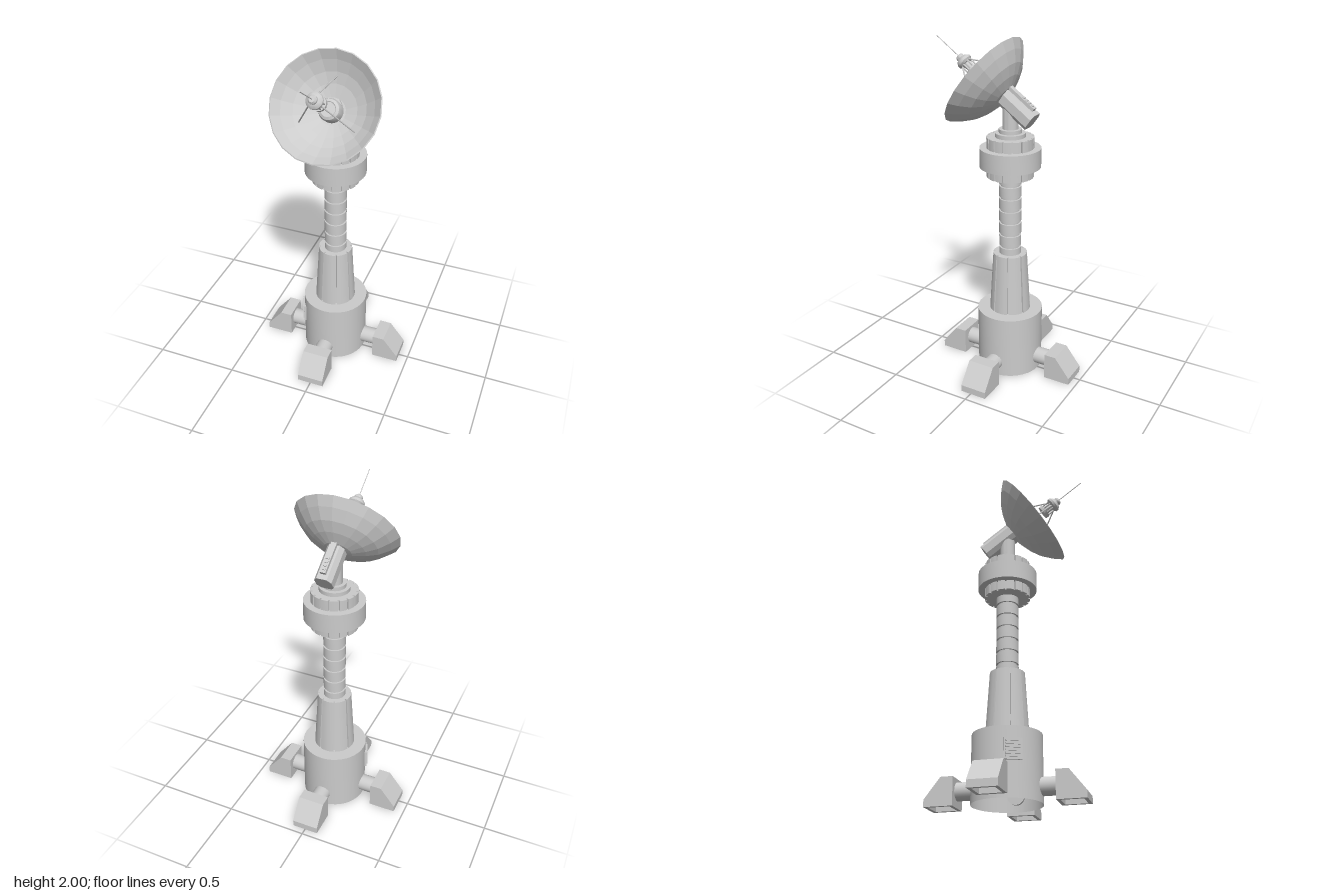
import * as THREE from 'three';
import { toCreasedNormals } from 'three/addons/utils/BufferGeometryUtils.js';

const grey = new THREE.MeshStandardMaterial({ color: 0xcccccc });
const open = new THREE.MeshStandardMaterial({ color: 0xcccccc, side: THREE.DoubleSide });
const faceted = new THREE.MeshStandardMaterial({ color: 0xcccccc, flatShading: true });

function add(parent, name, geometry, material = grey) {
  const mesh = new THREE.Mesh(geometry, material);
  mesh.name = name;
  parent.add(mesh);
  return mesh;
}
const group = (parent, name) => {
  const g = new THREE.Group();
  g.name = name;
  parent.add(g);
  return g;
};
const vecs = (pts) => pts.map(([x, y]) => new THREE.Vector2(x, y));
const lathe = (pts, sides = 40) => toCreasedNormals(new THREE.LatheGeometry(vecs(pts), sides), 0.6);
const disc = (r, y0, y1, r1 = r) => lathe([[0, y0], [r, y0], [r1, y1], [0, y1]]);
const extrude = (pts, depth) => new THREE.ExtrudeGeometry(new THREE.Shape(vecs(pts)), { depth, bevelEnabled: false });

// Upright ring of teeth split by notches; the top can be scaled to taper it
function toothed(rOut, rIn, teeth, gap, y0, y1, taper = 1) {
  const pts = [];
  const step = (Math.PI * 2) / teeth;
  const steps = 4;
  for (let i = 0; i < teeth; i++) {
    const mid = i * step + Math.PI / 2;
    const half = (step * (1 - gap)) / 2;
    for (let j = 0; j <= steps; j++) {
      const a = mid - half + (2 * half * j) / steps;
      pts.push([rOut * Math.cos(a), rOut * Math.sin(a)]);
    }
    for (const a of [mid + half, mid + step - half]) pts.push([rIn * Math.cos(a), rIn * Math.sin(a)]);
  }
  const h = y1 - y0;
  const g = extrude(pts, h);
  const p = g.attributes.position;
  for (let i = 0; i < p.count; i++) {
    const s = 1 + ((taper - 1) * p.getZ(i)) / h;
    p.setXY(i, p.getX(i) * s, p.getY(i) * s);
  }
  g.rotateX(-Math.PI / 2).translate(0, y0, 0);
  g.computeVertexNormals();
  return toCreasedNormals(g, 0.5);
}

function rod(parent, name, a, b, r) {
  const from = new THREE.Vector3(...a), to = new THREE.Vector3(...b);
  const dir = to.clone().sub(from);
  const m = add(parent, name, new THREE.CylinderGeometry(r, r, dir.length(), 8));
  m.position.copy(from).add(to).multiplyScalar(0.5);
  m.quaternion.setFromUnitVectors(new THREE.Vector3(0, 1, 0), dir.normalize());
}

function buildBase(tower) {
  // Drum, open underneath
  add(tower, 'baseDrum', lathe([[0.195, 0], [0.195, 0.38], [0, 0.38]]), open);

  // Four hollow feet on pipes
  const outer = [[0.28, 0], [0.442, 0], [0.442, 0.04], [0.35, 0.157], [0.28, 0.157]];
  const wall = [[0.28, 0], [0.3, 0], [0.3, 0.137], [0.34, 0.137], [0.422, 0.033], [0.422, 0],
    [0.442, 0], [0.442, 0.04], [0.35, 0.157], [0.28, 0.157]];
  for (let i = 0; i < 4; i++) {
    const leg = group(tower, 'leg');
    leg.rotation.y = (i * Math.PI) / 2;
    add(leg, 'footShell', extrude(wall, 0.12)).position.z = -0.06;
    for (const z of [-0.08, 0.06]) add(leg, 'footSide', extrude(outer, 0.02)).position.z = z;
    const pipe = add(leg, 'legPipe', new THREE.CylinderGeometry(0.05, 0.05, 0.14, 24));
    pipe.rotation.z = Math.PI / 2;
    pipe.position.set(0.245, 0.088, 0);
  }

  // Slatted control panel on the drum's side
  const panel = group(tower, 'controlPanel');
  panel.rotation.y = Math.PI + 0.42;
  add(panel, 'panelBox', new THREE.BoxGeometry(0.03, 0.115, 0.1)).position.set(0.187, 0.253, 0);
  for (let i = 0; i < 6; i++) {
    add(panel, 'panelSlat', new THREE.BoxGeometry(0.012, 0.009, 0.08)).position.set(0.202, 0.211 + i * 0.017, 0);
  }
}

function buildMast(tower) {
  add(tower, 'taperedSleeve', toothed(0.122, 0.107, 8, 0.1, 0.38, 0.745, 0.82));

  // Column with evenly spaced grooves
  const column = [[0.065, 0.7]];
  for (let i = 0; i < 6; i++) {
    const y = 0.785 + i * 0.076;
    column.push([0.065, y], [0.055, y], [0.055, y + 0.013], [0.065, y + 0.013]);
  }
  column.push([0.065, 1.25]);
  add(tower, 'groovedColumn', lathe(column, 32));

  // Rotating head
  add(tower, 'lowerCollar', toothed(0.135, 0.122, 16, 0.18, 1.222, 1.285));
  add(tower, 'headRing', disc(0.175, 1.28, 1.392));
  add(tower, 'upperCollar', toothed(0.135, 0.122, 16, 0.18, 1.39, 1.455));
  add(tower, 'turntable', disc(0.087, 1.45, 1.478));
  add(tower, 'neckFlange', disc(0.065, 1.478, 1.5));
  add(tower, 'neck', disc(0.045, 1.49, 1.63));
}

function buildDish(root) {
  // Local +y is the dish axis, local -z its upper side, origin at the rim's centre
  const dish = group(root, 'dishAssembly');
  dish.position.set(0, 1.7525, 0.1475);
  dish.rotation.x = 0.949;

  const bowl = [[0, -0.158], [0.08, -0.15], [0.15, -0.125], [0.21, -0.093], [0.265, -0.046], [0.306, 0],
    [0.3, 0.003], [0.258, -0.04], [0.203, -0.084], [0.145, -0.115], [0.075, -0.139], [0, -0.146]];
  add(dish, 'dishBowl', new THREE.LatheGeometry(vecs(bowl), 20), faceted);
  add(dish, 'centreHub', lathe([[0.062, -0.15], [0.062, -0.092], [0.056, -0.075], [0.042, -0.066], [0.038, -0.07], [0, -0.07]]));

  // Receiver housing behind the bowl
  const housing = [[-0.03, -0.036], [0.03, -0.036], [0.05, -0.012], [0.05, 0.04],
    [0.03, 0.068], [-0.03, 0.068], [-0.05, 0.04], [-0.05, -0.012]];
  const box = add(dish, 'receiverHousing', extrude(housing, 0.24));
  box.rotation.x = -Math.PI / 2;
  box.position.y = -0.36;
  add(dish, 'receiverRidge', new THREE.BoxGeometry(0.032, 0.19, 0.022)).position.set(0, -0.235, -0.076);
  for (let i = 0; i < 4; i++) {
    add(dish, 'receiverRib', new THREE.BoxGeometry(0.02, 0.01, 0.008)).position.set(0, -0.31 + i * 0.022, -0.088);
  }

  // Feed carried on three struts
  add(dish, 'feedPlate', disc(0.04, 0.075, 0.095));
  add(dish, 'feedCore', disc(0.023, 0.09, 0.15));
  add(dish, 'feedHead', lathe([[0, 0.138], [0.032, 0.138], [0.045, 0.15], [0.045, 0.164], [0.033, 0.178],
    [0.024, 0.182], [0.024, 0.194], [0.016, 0.204], [0, 0.204]], 24));
  for (let i = 0; i < 3; i++) {
    const a = -Math.PI / 2 + (i * Math.PI * 2) / 3;
    const c = Math.cos(a), s = Math.sin(a);
    rod(dish, 'feedStrut', [0.182 * c, -0.098, 0.182 * s], [0.03 * c, 0.145, 0.03 * s], 0.004);
  }
  for (let i = 0; i < 6; i++) {
    const a = (i * Math.PI) / 3;
    rod(dish, 'feedPost', [0.031 * Math.cos(a), 0.09, 0.031 * Math.sin(a)],
      [0.031 * Math.cos(a), 0.142, 0.031 * Math.sin(a)], 0.005);
  }
  rod(dish, 'aerial', [0, 0.2, 0], [0, 0.379, 0], 0.0025);
}

export function createModel() {
  const model = new THREE.Group();
  model.name = 'dishTower';
  const tower = group(model, 'tower');
  tower.position.z = -0.018;
  buildBase(tower);
  buildMast(tower);
  buildDish(model);
  return model;
}
